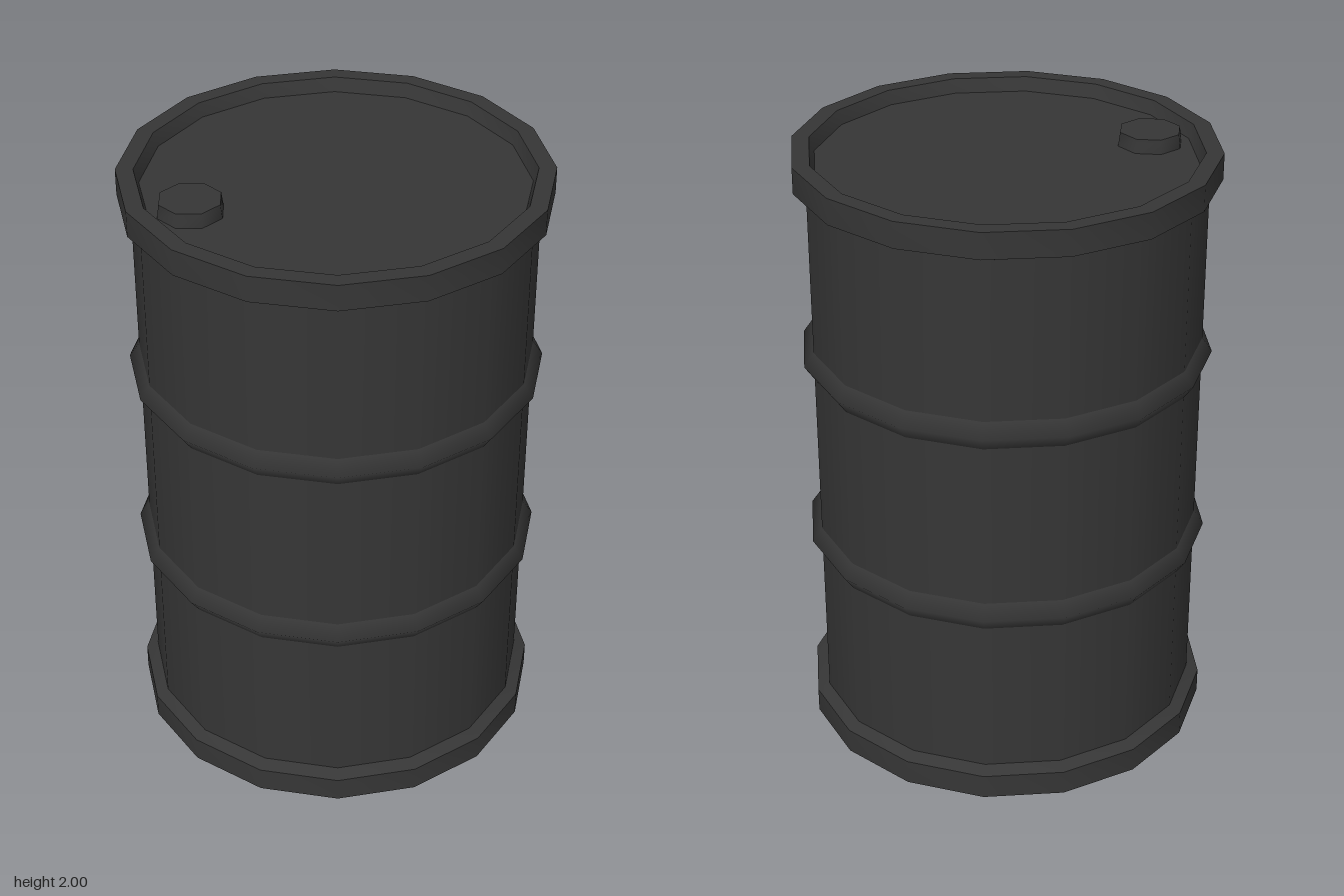
import * as THREE from 'three';
import { toCreasedNormals } from 'three/addons/utils/BufferGeometryUtils.js';

const SIDES = 16;

export function createModel() {
  const drum = new THREE.Group();
  drum.name = 'drum';
  const steel = new THREE.MeshStandardMaterial({ color: 0x363636 });
  steel.name = 'dark steel';

  const add = (name, geometry) => {
    const mesh = new THREE.Mesh(geometry, steel);
    mesh.name = name;
    drum.add(mesh);
    return mesh;
  };
  // Profile of [radius, height] pairs, listed so the outside runs upwards
  const lathe = (profile) =>
    new THREE.LatheGeometry(profile.map(([r, y]) => new THREE.Vector2(r, y)), SIDES);
  const disc = (r, y, up) =>
    new THREE.CircleGeometry(r, SIDES).rotateX(up ? -Math.PI / 2 : Math.PI / 2).translate(0, y, 0);

  // Straight wall
  add('wall', lathe([[0.63, 0.1], [0.63, 1.9]]));

  // Rolling hoops, rounded at the ridge
  for (const [name, y] of [['lowerHoop', 0.68], ['upperHoop', 1.325]]) {
    add(name, lathe([[0.629, y - 0.048], [0.662, y], [0.629, y + 0.048]]));
  }

  // Bottom rim and base
  add('bottomRim', toCreasedNormals(lathe([[0.67, 0], [0.67, 0.083], [0.63, 0.102]]), 0.6));
  add('base', disc(0.67, 0, false));

  // Top rim with its inner lip, and the sunken lid
  add('topRim', toCreasedNormals(lathe([
    [0.63, 1.897], [0.67, 1.915], [0.67, 2], [0.615, 2], [0.6, 1.955],
  ]), 0.6));
  add('lid', disc(0.6, 1.955, true));

  // Filler cap on the lid
  const cap = toCreasedNormals(new THREE.CylinderGeometry(0.099, 0.105, 0.045, 8), 0.9);
  add('fillerCap', cap).position.set(-0.47, 1.9775, 0);

  return drum;
}
